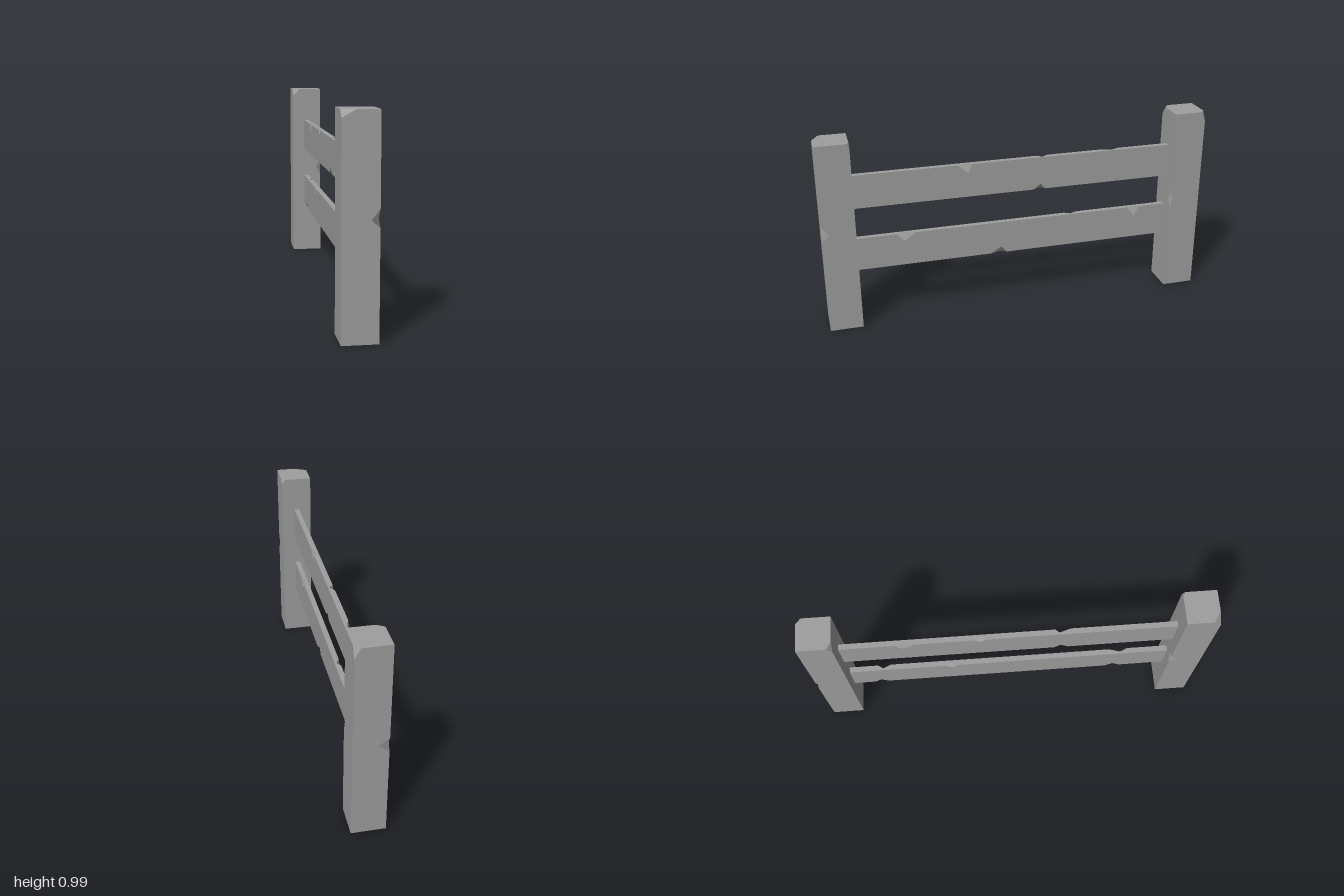
import * as THREE from 'three';

const material = new THREE.MeshStandardMaterial({ color: 0x9e9e9e });

// Square-cut bar running along y from lo to hi, with chipped edges.
// Long edges 0..3 run: (+x,+z), (+x,-z), (-x,-z), (-x,+z); face k lies between edges k and k+1.
// notches: [edge, y1, yMid, y2, depth on previous face, depth on next face]
// chips (top corners): [edge, height, depth on previous face, depth on next face]
function chippedBar(w, d, lo, hi, notches, chips = []) {
  const corners = [[1, 1], [1, -1], [-1, -1], [-1, 1]].map(([x, z]) => [x * w / 2, z * d / 2]);
  const faceWidth = [d, w, d, w];
  const positions = [], normals = [];
  const at = (k, u, y) => {
    const [ax, az] = corners[k], [bx, bz] = corners[(k + 1) % 4], t = u / faceWidth[k];
    return new THREE.Vector3(ax + (bx - ax) * t, y, az + (bz - az) * t);
  };
  // Adds triangles that share one averaged normal
  const facet = (...triangles) => {
    const normal = new THREE.Vector3();
    for (const [a, b, c] of triangles) normal.add(b.clone().sub(a).cross(c.clone().sub(a)));
    normal.normalize();
    for (const p of triangles.flat()) {
      positions.push(...p.toArray());
      normals.push(...normal.toArray());
    }
  };
  const notchesOf = k => notches.filter(n => n[0] === k).sort((a, b) => a[1] - b[1]);
  const chipOf = k => chips.find(c => c[0] === k);
  const top = [];

  for (let k = 0; k < 4; k++) {
    const next = (k + 1) % 4, prev = (k + 3) % 4, width = faceWidth[k];

    // Long face outline: up the right edge, then down the left edge
    const outline = [[0, lo], [width, lo]];
    for (const [, y1, ym, y2, a] of notchesOf(next)) outline.push([width, y1], [width - a, ym], [width, y2]);
    const right = chipOf(next), left = chipOf(k);
    if (right) outline.push([width, hi - right[1]], [width - right[2], hi]);
    else outline.push([width, hi]);
    if (left) outline.push([left[3], hi], [0, hi - left[1]]);
    else outline.push([0, hi]);
    for (const [, y1, ym, y2, , b] of notchesOf(k).reverse()) outline.push([0, y2], [b, ym], [0, y1]);
    const contour = outline.map(p => new THREE.Vector2(...p));
    facet(...THREE.ShapeUtils.triangulateShape(contour, [])
      .map(f => f.map(i => at(k, contour[i].x, contour[i].y))));

    // Softly shaded notch
    for (const [, y1, ym, y2, a, b] of notchesOf(k)) {
      const p = at(prev, faceWidth[prev] - a, ym), q = at(k, b, ym);
      facet([at(k, 0, y1), q, p], [at(k, 0, y2), p, q]);
    }

    // Broken top corner
    if (left) {
      const p = at(prev, faceWidth[prev] - left[2], hi), q = at(k, left[3], hi);
      facet([at(k, 0, hi - left[1]), q, p]);
      top.push(p, q);
    } else top.push(at(k, 0, hi));
  }

  // End caps
  for (let i = 1; i < top.length - 1; i++) facet([top[0], top[i], top[i + 1]]);
  const base = [0, 1, 2, 3].map(k => at(k, 0, lo));
  facet([base[0], base[2], base[1]], [base[0], base[3], base[2]]);

  const geometry = new THREE.BufferGeometry();
  geometry.setAttribute('position', new THREE.Float32BufferAttribute(positions, 3));
  geometry.setAttribute('normal', new THREE.Float32BufferAttribute(normals, 3));
  return geometry;
}

export function createModel() {
  const group = new THREE.Group();
  const add = (name, geometry, x, y, z) => {
    const mesh = new THREE.Mesh(geometry, material);
    mesh.name = name;
    mesh.position.set(x, y, z);
    group.add(mesh);
    return mesh;
  };

  // Posts
  const post = (name, z, notches, chips) =>
    add(name, chippedBar(0.165, 0.166, 0, 0.99, notches, chips), 0, 0, z);
  post('frontPost', 0.917,
    [[0, 0.5, 0.533, 0.582, 0.037, 0.036], [2, 0.46, 0.51, 0.55, 0.038, 0.038]],
    [[3, 0.034, 0.035, 0.063], [1, 0.02, 0.013, 0.02]]);
  post('backPost', -0.917,
    [[0, 0.465, 0.515, 0.56, 0.025, 0.016], [2, 0.45, 0.485, 0.52, 0.05, 0.02]],
    [[1, 0.05, 0.025, 0.027], [3, 0.04, 0.022, 0.038]]);

  // Rails: bars laid along z; edges become 0 lower left, 1 upper left, 2 upper right, 3 lower right
  const rail = (name, y, notches) => {
    const mesh = add(name, chippedBar(0.028, 0.174, -0.84, 0.84, notches), -0.002, y, 0);
    mesh.rotation.x = Math.PI / 2;
  };
  rail('upperRail', 0.715, [
    [1, 0.23, 0.25, 0.305, 0.045, 0.018],
    [0, -0.155, -0.13, -0.09, 0.018, 0.028],
    [2, -0.56, -0.52, -0.46, 0.017, 0.05],
    [2, -0.17, -0.14, -0.115, 0.022, 0.03],
    [3, 0.23, 0.26, 0.3, 0.03, 0.018],
  ]);
  rail('lowerRail', 0.377, [
    [1, 0.53, 0.59, 0.625, 0.042, 0.018],
    [1, -0.685, -0.66, -0.62, 0.055, 0.018],
    [0, 0.055, 0.08, 0.14, 0.018, 0.034],
    [2, -0.33, -0.3, -0.27, 0.018, 0.03],
    [3, -0.72, -0.69, -0.65, 0.03, 0.018],
    [3, 0.52, 0.56, 0.6, 0.03, 0.018],
  ]);

  return group;
}
